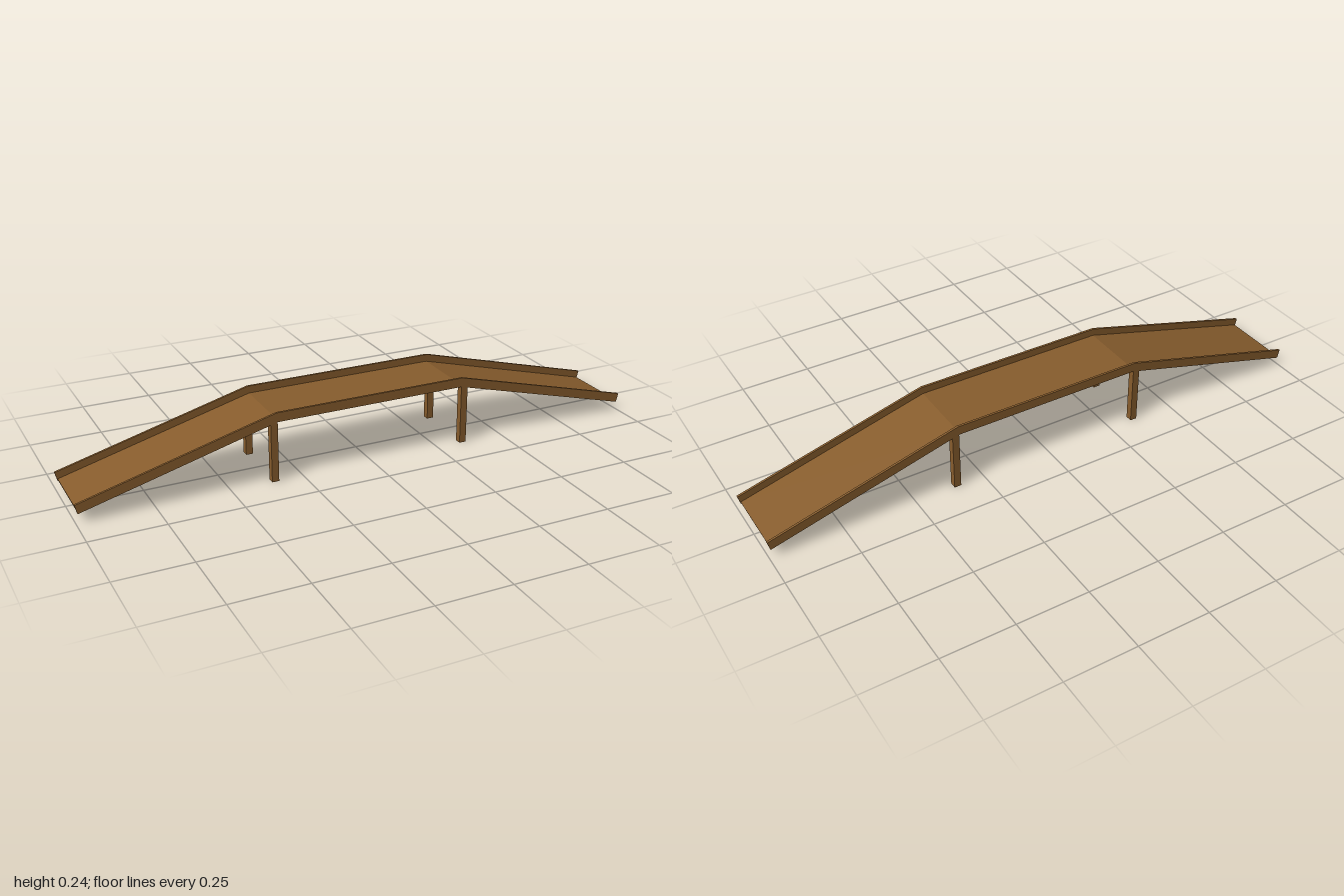
import * as THREE from 'three';

const wood = new THREE.MeshStandardMaterial({ color: 0x885d2d });
wood.name = 'brown wood';

// Extrudes a left-right symmetric side profile, given by its +x half, along z
function bentBoard(name, half, z0, z1) {
  const mirrored = half.map(([x, y]) => [-x, y]).reverse();
  const shape = new THREE.Shape([...half, ...mirrored].map(([x, y]) => new THREE.Vector2(x, y)));
  const geo = new THREE.ExtrudeGeometry(shape, { depth: z1 - z0, bevelEnabled: false });
  geo.translate(0, 0, z0);
  const mesh = new THREE.Mesh(geo, wood);
  mesh.name = name;
  return mesh;
}

export function createModel() {
  const group = new THREE.Group();
  group.name = 'rampBridge';

  // Flat walkway with a ramp down at each end
  const deck = [[0.335, 0.208], [0.990, 0.032], [0.992, 0.0395], [0.336, 0.215]];
  group.add(bentBoard('deck', deck, -0.12, 0.12));

  // Low side boards following the walkway, square-cut at the ends
  const rail = [[0.335, 0.208], [0.992, 0.032], [1.0, 0.063], [0.339, 0.24]];
  group.add(bentBoard('frontRail', rail, 0.12, 0.128));
  group.add(bentBoard('backRail', rail, -0.128, -0.12));

  // Four square posts under the bends
  const legGeo = new THREE.BoxGeometry(0.024, 0.208, 0.024);
  for (const sx of [-1, 1]) {
    for (const sz of [-1, 1]) {
      const leg = new THREE.Mesh(legGeo, wood);
      leg.name = (sz > 0 ? 'front' : 'back') + (sx > 0 ? 'Left' : 'Right') + 'Leg';
      leg.position.set(sx * 0.348, 0.104, sz * 0.115);
      group.add(leg);
    }
  }
  return group;
}
